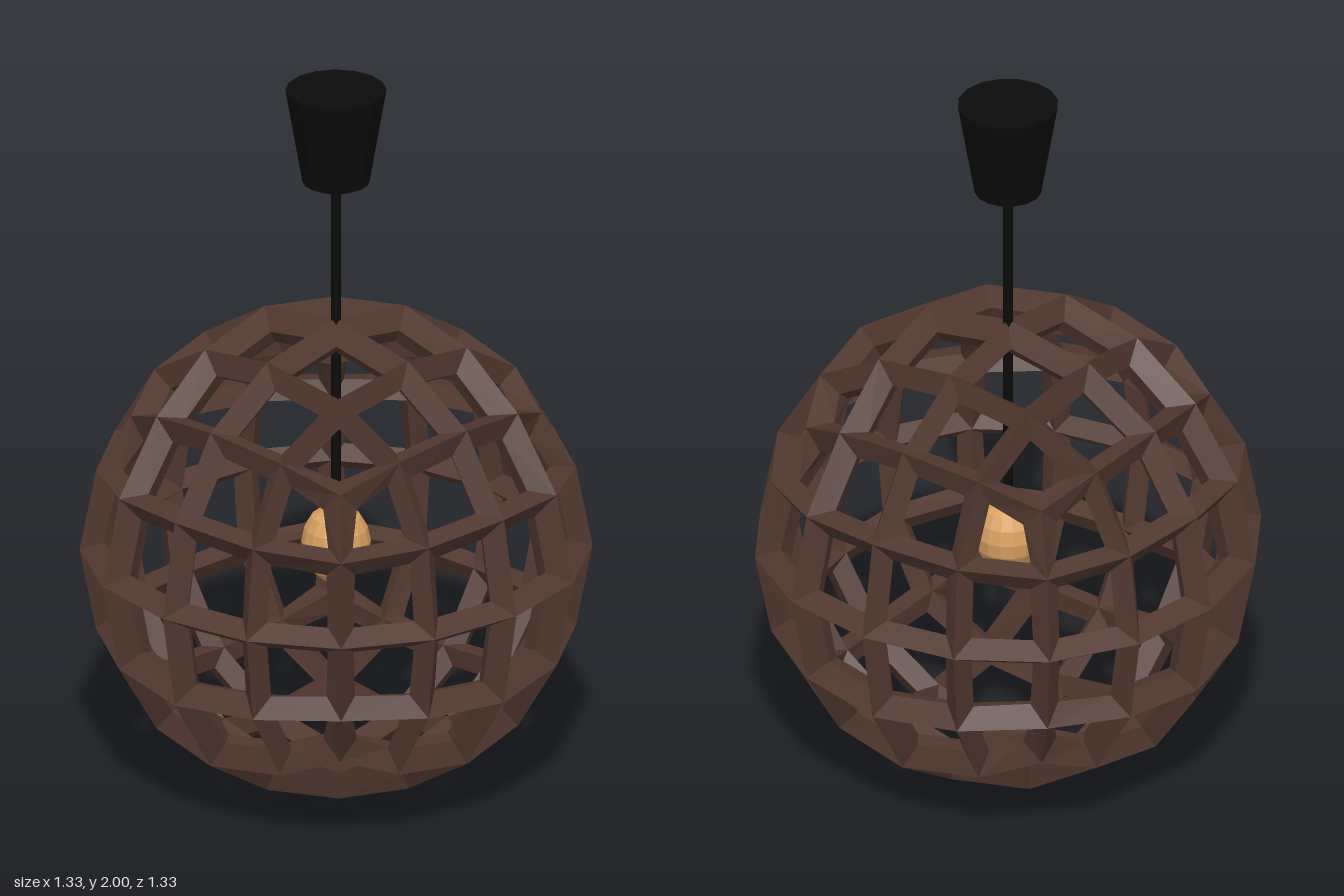
import * as THREE from 'three';

const wood = new THREE.MeshStandardMaterial({ color: 0x50382f });
wood.name = 'dark brown wood';
const black = new THREE.MeshStandardMaterial({ color: 0x0b0b0b });
black.name = 'black';
const amber = new THREE.MeshStandardMaterial({ color: 0xd9a162 });
amber.name = 'amber glass';

const CENTRE_Y = 0.67;
const HALF_DEPTH = 0.05; // bar ridge height above and below the lattice surface
const INSET = 0.052;     // distance of the opening's corner from the lattice node

// Rounds a node of a cube split 4 x 4 per side onto the ball
function roundNode(p) {
  const c = p.toArray();
  const ones = c.filter((v) => Math.abs(v) === 1).length;
  const halves = c.filter((v) => Math.abs(v) === 0.5).length;
  const half = ones === 1 ? 0.427 : 0.504;
  let radius = 0.62;
  if (ones === 1) radius = halves ? 0.6255 : 0.617;
  if (ones === 2) radius = halves ? 0.63 : 0.634;
  const q = c.map((v) => (Math.abs(v) === 0.5 ? Math.sign(v) * half : v));
  return new THREE.Vector3(...q).setLength(radius);
}

// Lattice of diamond-section bars round every opening of the ball
function cageGeometry() {
  const positions = [];
  const quad = (a, b, c, d) => {
    for (const p of [a, b, c, a, c, d]) positions.push(p.x, p.y, p.z);
  };
  const raise = (p, h) => p.clone().setLength(p.length() + h);

  const opening = (nodes) => {
    const outer = nodes.map((p) => raise(p, HALF_DEPTH));
    const inner = nodes.map((p) => raise(p, -HALF_DEPTH));
    const rim = nodes.map((p, i) => {
      const next = nodes[(i + 1) % 4].clone().sub(p).normalize();
      const prev = nodes[(i + 3) % 4].clone().sub(p).normalize();
      return next.add(prev).setLength(INSET).add(p);
    });
    for (let i = 0; i < 4; i++) {
      const j = (i + 1) % 4;
      quad(outer[i], outer[j], rim[j], rim[i]);
      quad(inner[i], rim[i], rim[j], inner[j]);
    }
  };

  for (let axis = 0; axis < 3; axis++) {
    for (const side of [1, -1]) {
      const node = (i, j) => {
        const p = new THREE.Vector3();
        p.setComponent(axis, side);
        p.setComponent((axis + 1) % 3, (side * i) / 2);
        p.setComponent((axis + 2) % 3, j / 2);
        return roundNode(p);
      };
      for (let i = -2; i < 2; i++) {
        for (let j = -2; j < 2; j++) {
          opening([node(i, j), node(i + 1, j), node(i + 1, j + 1), node(i, j + 1)]);
        }
      }
    }
  }
  const geometry = new THREE.BufferGeometry();
  geometry.setAttribute('position', new THREE.Float32BufferAttribute(positions, 3));
  geometry.computeVertexNormals();
  return geometry;
}

// Faceted turned part from [radius, height] pairs, bottom to top
function turned(profile, sides) {
  const points = profile.map(([r, y]) => new THREE.Vector2(r, y));
  const geometry = new THREE.LatheGeometry(points, sides).toNonIndexed();
  geometry.computeVertexNormals();
  return geometry;
}

export function createModel() {
  const model = new THREE.Group();
  model.name = 'pendantLamp';

  const add = (name, geometry, material, y = 0) => {
    const mesh = new THREE.Mesh(geometry, material);
    mesh.name = name;
    mesh.position.y = y;
    model.add(mesh);
  };

  add('latticeShade', cageGeometry(), wood, CENTRE_Y);

  // Ceiling cup with a shallow conical underside
  add('ceilingCup', turned([[0, 1.7], [0.014, 1.7], [0.09, 1.735], [0.135, 2], [0, 2]], 16), black);

  // Cord from the cup down to the bulb
  add('cord', new THREE.CylinderGeometry(0.013, 0.013, 0.96, 8), black, 1.23);

  // Bulb
  add('bulb', turned([
    [0, 0.575], [0.04, 0.585], [0.07, 0.612], [0.088, 0.65], [0.093, 0.69],
    [0.085, 0.73], [0.066, 0.763], [0.038, 0.783], [0, 0.787],
  ], 16), amber);

  return model;
}
